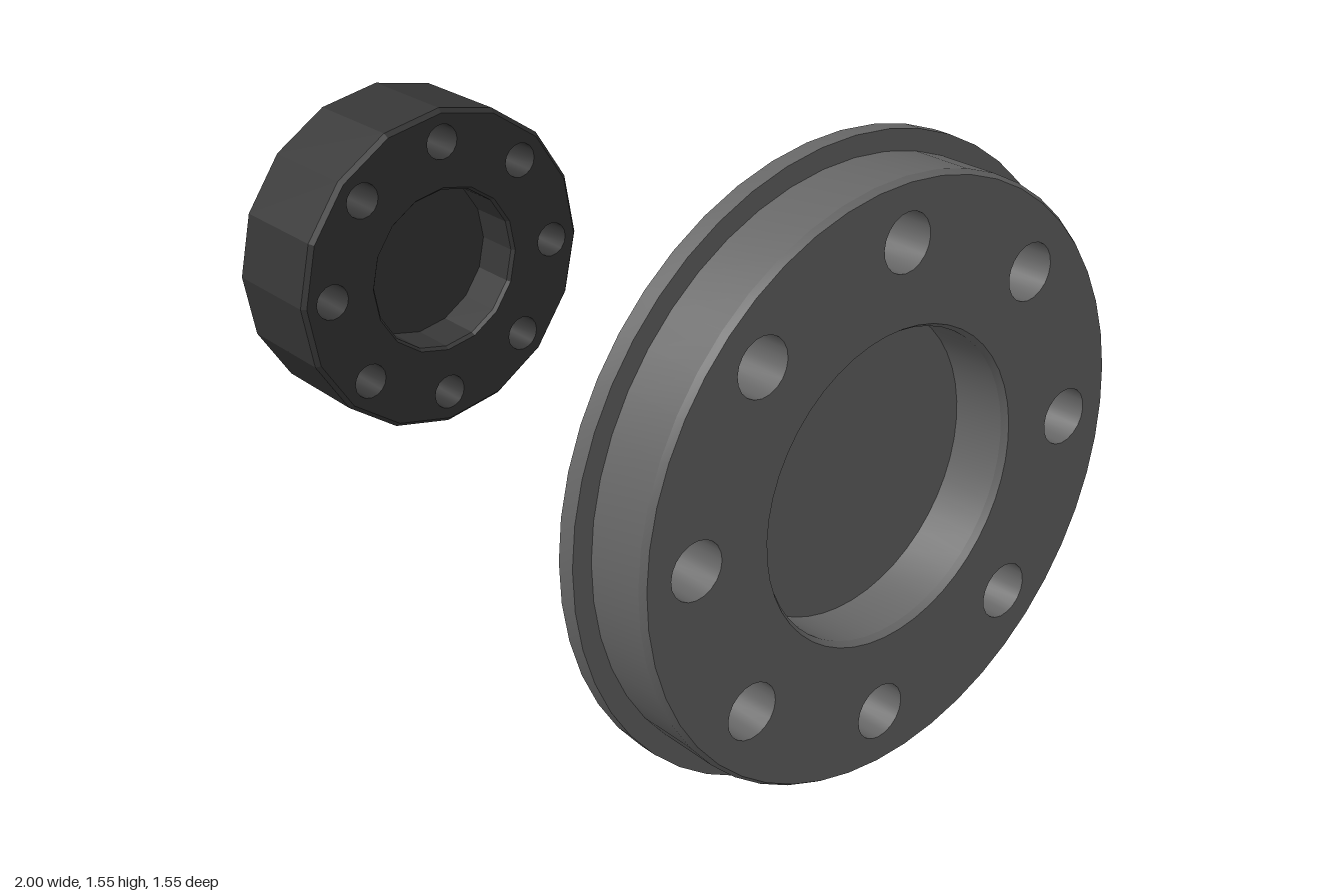
import * as THREE from 'three';
import { mergeGeometries, toCreasedNormals } from 'three/addons/utils/BufferGeometryUtils.js';

const AXIS_Y = 0.775;

// Points of a regular polygon; corners line up with the lathe segments
function ring(r, n, cx = 0, cy = 0) {
  return Array.from({ length: n }, (_, i) => {
    const a = (i / n) * Math.PI * 2 - Math.PI / 2;
    return new THREE.Vector2(cx + r * Math.cos(a), cy + r * Math.sin(a));
  });
}

// Surface of revolution about x; the profile is a list of [radius, x]
function turned(profile, n, crease, cy = 0, cz = 0) {
  const g = new THREE.LatheGeometry(profile.map(([r, x]) => new THREE.Vector2(r, x)), n);
  g.rotateZ(-Math.PI / 2).translate(0, cy, cz);
  g.deleteAttribute('uv');
  return toCreasedNormals(g, crease);
}

// Flat disc with holes at the given x, facing +x (dir 1) or -x (dir -1)
function face(outer, holes, x, dir) {
  const s = new THREE.Shape(outer);
  holes.forEach((h) => s.holes.push(new THREE.Path(h)));
  const g = new THREE.ShapeGeometry(s).rotateY((dir * Math.PI) / 2).translate(x, 0, 0);
  g.deleteAttribute('uv');
  return g.toNonIndexed();
}

// Eight hole centres, the first one at the top
function boltCircle(r) {
  return Array.from({ length: 8 }, (_, i) => {
    const a = Math.PI / 2 + (i * Math.PI) / 4;
    return [r * Math.cos(a), r * Math.sin(a)];
  });
}

function part(name, geometries, material) {
  const mesh = new THREE.Mesh(mergeGeometries(geometries), material);
  mesh.name = name;
  mesh.position.y = AXIS_Y;
  return mesh;
}

export function createModel() {
  const model = new THREE.Group();
  model.name = 'flangeAndHub';
  const grey = new THREE.MeshStandardMaterial({ color: 0x666666 });
  const dark = new THREE.MeshStandardMaterial({ color: 0x363636 });

  // Large flanged disc: seven through holes, the top one blind
  const N = 48, H = 20, C = 0.4;
  const bolts = boltCircle(0.58);
  const boltRings = bolts.map(([z, y]) => ring(0.07, H, z, y));
  model.add(part('flangeDisc', [
    turned([[0.775, 0.79], [0.775, 0.835], [0.725, 0.835], [0.725, 0.985], [0.715, 1]], N, C),
    face(ring(0.715, N), [ring(0.382, N), ...boltRings], 1, 1),
    face(ring(0.775, N), [ring(0.345, N), ...boltRings.slice(1)], 0.79, -1),
  ], grey));
  model.add(part('flangeRecess', [
    turned([[0.382, 1], [0.372, 0.985], [0.372, 0.85], [0, 0.85]], N, C),
  ], grey));
  model.add(part('flangeBoss', [
    turned([[0, 0.675], [0.345, 0.675], [0.345, 0.79]], N, C),
  ], grey));
  model.add(part('flangeHoles', bolts.map(([z, y], i) =>
    turned(i ? [[0.07, 1], [0.07, 0.79]] : [[0.07, 1], [0.07, 0.835], [0, 0.835]], H, C, y, -z)), grey));

  // Small faceted hub with a closed back and blind holes
  const M = 16, F = 0.1;
  const pins = boltCircle(0.37);
  model.add(part('hubBody', [
    turned([[0, -1], [0.463, -1], [0.463, -0.702], [0.451, -0.69]], M, F),
    face(ring(0.451, M), [ring(0.24, M), ...pins.map(([z, y]) => ring(0.05, M, z, y))], -0.69, 1),
  ], dark));
  model.add(part('hubRecess', [
    turned([[0.24, -0.69], [0.232, -0.7], [0.232, -0.83], [0, -0.83]], M, F),
  ], dark));
  model.add(part('hubHoles', pins.map(([z, y]) =>
    turned([[0.05, -0.69], [0.05, -0.83], [0, -0.83]], M, C, y, -z)), dark));

  return model;
}
